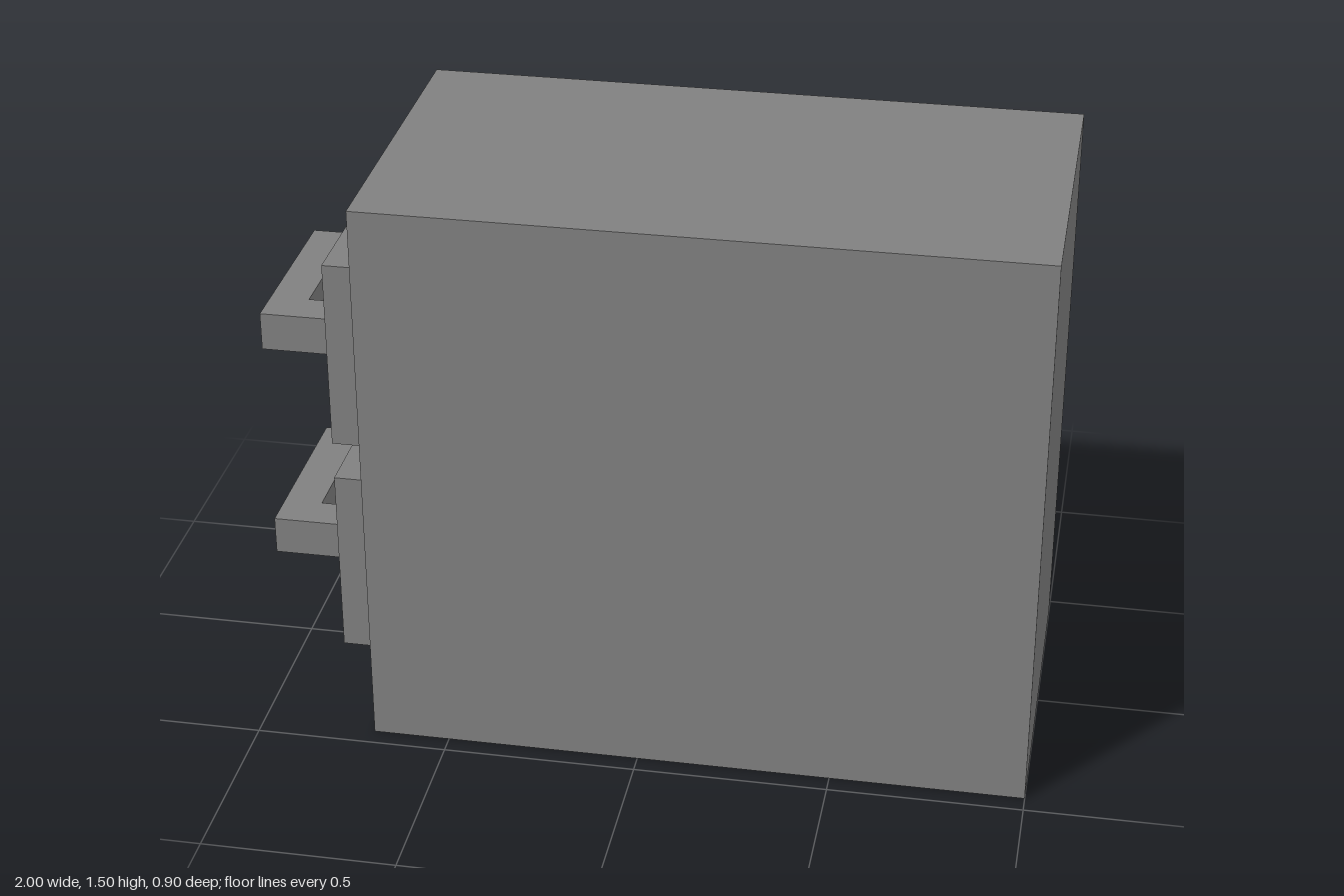
import * as THREE from 'three';

export function createModel() {
  const model = new THREE.Group();
  model.name = 'drawerCabinet';
  const grey = new THREE.MeshStandardMaterial({ color: 0x808080 });
  grey.name = 'grey';

  function add(parent, name, geometry, x, y, z) {
    const mesh = new THREE.Mesh(geometry, grey);
    mesh.name = name;
    mesh.position.set(x, y, z);
    parent.add(mesh);
  }

  // Cabinet body
  add(model, 'cabinetBody', new THREE.BoxGeometry(1.7, 1.5, 0.9), 0.15, 0.75, 0);

  // U-shaped handle, open towards the drawer, lying flat and 0.1 thick
  const outline = [
    [0, -0.25], [0, -0.15], [-0.1, -0.15], [-0.1, 0.15],
    [0, 0.15], [0, 0.25], [-0.2, 0.25], [-0.2, -0.25],
  ].map(([x, y]) => new THREE.Vector2(x, y));
  const handleGeometry = new THREE.ExtrudeGeometry(new THREE.Shape(outline), {
    depth: 0.1,
    bevelEnabled: false,
  });
  handleGeometry.rotateX(-Math.PI / 2);

  // Two drawers: front panel with its handle
  const panelGeometry = new THREE.BoxGeometry(0.1, 0.5, 0.7);
  [['lowerDrawer', 0.2], ['upperDrawer', 0.8]].forEach(([name, bottom]) => {
    const drawer = new THREE.Group();
    drawer.name = name;
    drawer.position.y = bottom;
    add(drawer, 'drawerPanel', panelGeometry, -0.75, 0.25, 0);
    add(drawer, 'drawerHandle', handleGeometry, -0.8, 0.2, 0);
    model.add(drawer);
  });

  return model;
}
